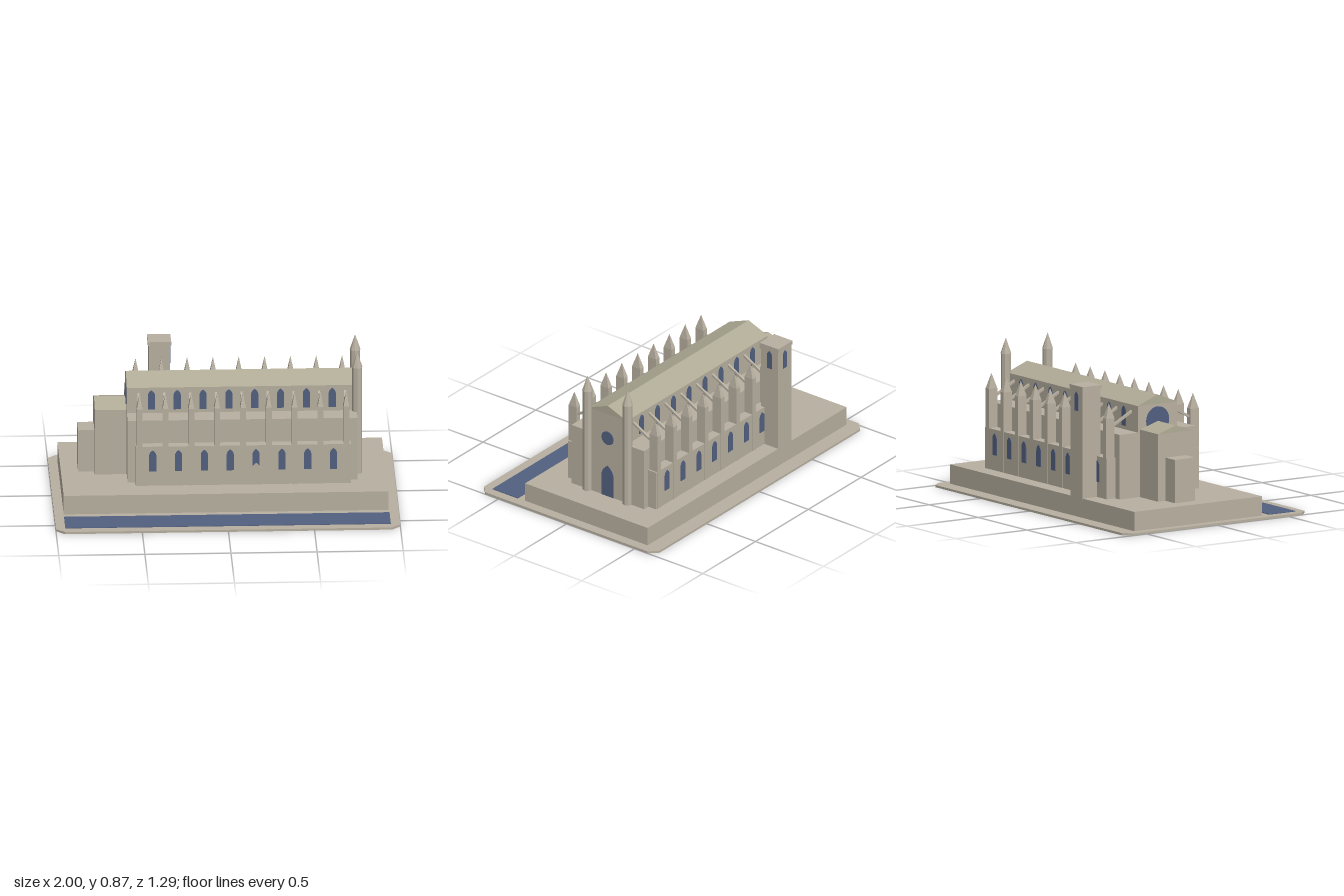
import * as THREE from 'three';

const mat = (name, color) => Object.assign(new THREE.MeshStandardMaterial({ color }), { name });

export function createModel() {
  const stone = mat('stone', 0xb7afa0);
  const roofStone = mat('roof stone', 0xb0ab96);
  const blue = mat('blue glass and water', 0x526080);
  const root = new THREE.Group();
  root.name = 'cathedral';
  const MID = -0.125; // z of the nave axis

  function add(name, geo, material, parent = root) {
    const m = new THREE.Mesh(geo, material);
    m.name = name;
    parent.add(m);
    return m;
  }
  // box from its limits
  function box(name, x0, x1, y0, y1, z0, z1, material = stone, parent = root) {
    const g = new THREE.BoxGeometry(x1 - x0, y1 - y0, z1 - z0);
    g.translate((x0 + x1) / 2, (y0 + y1) / 2, (z0 + z1) / 2);
    return add(name, g, material, parent);
  }
  const poly = (pts) => new THREE.Shape(pts.map((p) => new THREE.Vector2(p[0], p[1])));
  const extrude = (shape, depth) =>
    new THREE.ExtrudeGeometry(shape, { depth, bevelEnabled: false, curveSegments: 8 });
  // gable roof whose ridge runs along x
  function gable(name, x0, x1, yEave, yRidge, half) {
    const g = extrude(poly([[-half, yEave], [half, yEave], [0, yRidge]]), x1 - x0);
    g.rotateY(Math.PI / 2).translate(x0, 0, MID);
    return add(name, g, roofStone);
  }
  // thin pointed-arch plate facing +z, standing on its own y = 0
  function lancet(w, h, t = 0.005) {
    const a = w / 2, s = h - w * 0.85;
    const sh = new THREE.Shape();
    sh.moveTo(-a, 0);
    sh.lineTo(a, 0);
    sh.lineTo(a, s);
    sh.quadraticCurveTo(a, s + (h - s) * 0.6, 0, h);
    sh.quadraticCurveTo(-a, s + (h - s) * 0.6, -a, s);
    return extrude(sh, t);
  }

  // ground slab with cut corners
  const c = 0.05, W = 1, D = 0.645;
  const slab = extrude(poly([[-W + c, -D], [W - c, -D], [W, -D + c], [W, D - c],
    [W - c, D], [-W + c, D], [-W, D - c], [-W, -D + c]]), 0.013);
  add('ground slab', slab.rotateX(-Math.PI / 2), stone);
  box('pool', -0.945, 0.945, 0.012, 0.017, 0.4, 0.585, blue);
  box('podium', -0.945, 0.94, 0.012, 0.127, -0.55, 0.35);

  // main volumes
  box('nave', -0.565, 0.77, 0.12, 0.665, MID - 0.137, MID + 0.137);
  gable('nave roof', -0.565, 0.77, 0.665, 0.72, 0.14);
  box('aisles', -0.565, 0.77, 0.12, 0.508, MID - 0.266, MID + 0.266);
  box('choir', -0.75, -0.56, 0.12, 0.525, MID - 0.124, MID + 0.124);
  gable('choir roof', -0.75, -0.56, 0.525, 0.565, 0.124);
  box('apse', -0.845, -0.745, 0.12, 0.382, MID - 0.07, MID + 0.07);

  // one long side, repeated turned outward for the other
  for (const s of [1, -1]) {
    const side = new THREE.Group();
    side.name = s > 0 ? 'front side' : 'back side';
    side.position.z = MID;
    root.add(side);
    box('chapel row', -0.52, 0.73, 0.12, 0.368, s > 0 ? 0.26 : -0.324, s > 0 ? 0.324 : -0.26, stone, side);
    for (let i = 0; i < 9; i++) {
      const x = -0.497 + i * 0.15;
      const pier = add('buttress', new THREE.BoxGeometry(0.034, 0.48, 0.059), stone, side);
      pier.position.set(x, 0.36, s * 0.2965);
      const top = new THREE.ConeGeometry(Math.SQRT1_2, 0.09, 4, 1);
      top.rotateY(Math.PI / 4).scale(0.034, 1, 0.059);
      const pinnacle = add('pinnacle', top.toNonIndexed(), stone, side);
      pinnacle.geometry.computeVertexNormals();
      pinnacle.position.set(x, 0.644, s * 0.2965);
      // sloping arm from buttress to nave wall
      const arm = extrude(poly([[0.13, 0.62], [0.275, 0.541], [0.275, 0.557], [0.13, 0.636]]), 0.014);
      arm.rotateY(s > 0 ? -Math.PI / 2 : Math.PI / 2);
      add('flying buttress', arm, stone, side).position.x = x + s * 0.007;
    }
    for (let i = 0; i < 8; i++) {
      const x = -0.422 + i * 0.15;
      for (const [y, z, h, name] of [[0.217, 0.323, 0.128, 'chapel window'], [0.53, 0.136, 0.118, 'nave window']]) {
        const w = add(name, lancet(0.042, h), blue, side);
        w.position.set(x, y, s * z);
        if (s < 0) w.rotation.y = Math.PI;
      }
    }
  }

  // shallow side porch on the front
  const porch = extrude(poly([[-0.035, 0.125], [0.035, 0.125], [0.035, 0.228], [0, 0.262], [-0.035, 0.228]]), 0.008);
  add('side porch', porch, stone).position.set(0.178, 0, MID + 0.323);

  // entrance end
  const door = add('door', lancet(0.088, 0.2), blue);
  door.rotation.y = Math.PI / 2;
  door.position.set(0.768, 0.127, MID);
  function rose(name, x, y, r) {
    const g = new THREE.CylinderGeometry(r, r, 0.01, 24).rotateZ(Math.PI / 2);
    add(name, g, blue).position.set(x, y, MID);
  }
  rose('rose window', 0.769, 0.508, 0.043);
  rose('rear rose window', -0.564, 0.57, 0.08);
  for (const s of [1, -1]) {
    const turret = new THREE.Group();
    turret.name = 'turret';
    turret.position.set(0.772, 0, MID + s * 0.147);
    root.add(turret);
    const shaft = new THREE.CylinderGeometry(0.029, 0.029, 0.66, 8, 1).toNonIndexed();
    shaft.computeVertexNormals();
    add('turret shaft', shaft, stone, turret).position.y = 0.45;
    const spire = new THREE.ConeGeometry(0.032, 0.093, 8, 1).toNonIndexed();
    spire.computeVertexNormals();
    add('turret spire', spire, stone, turret).position.y = 0.825;
  }

  // bell tower
  const tx = -0.357, tz = -0.488;
  box('bell tower', tx - 0.062, tx + 0.062, 0.12, 0.765, tz - 0.063, tz + 0.063);
  box('bell tower cap', tx - 0.068, tx + 0.068, 0.763, 0.785, tz - 0.068, tz + 0.068);
  const east = add('tower window', lancet(0.036, 0.114), blue);
  east.rotation.y = Math.PI / 2;
  east.position.set(tx + 0.06, 0.636, tz);
  const north = add('tower window', lancet(0.036, 0.114), blue);
  north.rotation.y = Math.PI;
  north.position.set(tx, 0.636, tz - 0.061);

  return root;
}
